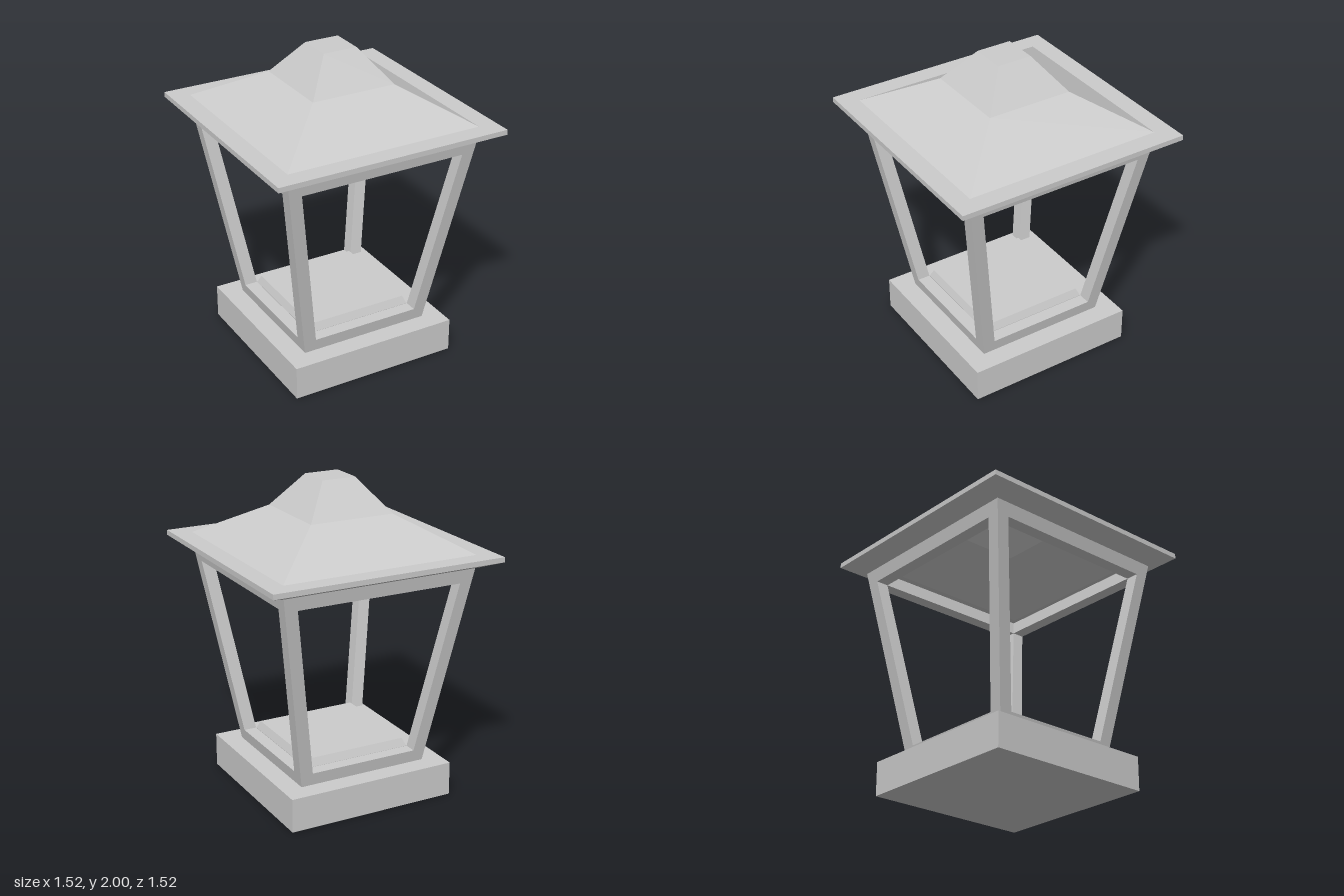
import * as THREE from 'three';

const grey = new THREE.MeshStandardMaterial({ color: 0xcccccc, flatShading: true });
const shell = new THREE.MeshStandardMaterial({ color: 0xcccccc, flatShading: true, side: THREE.DoubleSide });

// Square-plan solid from a profile of [half width, height] points, bottom to top on the outside
function squareLathe(name, profile, material = grey) {
  const points = profile.map(([half, y]) => new THREE.Vector2(half * Math.SQRT2, y));
  const geometry = new THREE.LatheGeometry(points, 4, Math.PI / 4).toNonIndexed();
  geometry.computeVertexNormals();
  const mesh = new THREE.Mesh(geometry, material);
  mesh.name = name;
  return mesh;
}

// Half widths of the flared frame at height y
const outer = (y) => 0.425 + (y - 0.215) * 0.164;
const inner = (y) => 0.355 + (y - 0.295) * 0.166;

// Square ring of the frame between two heights
function rail(name, y0, y1) {
  return squareLathe(name, [
    [outer(y0), y0], [outer(y1), y1], [inner(y1), y1], [inner(y0), y0], [outer(y0), y0],
  ]);
}

// Leaning corner post: a box whose corners follow the frame flare
function post(sx, sz, y0, y1) {
  const geometry = new THREE.BoxGeometry(1, 1, 1);
  const p = geometry.attributes.position;
  for (let i = 0; i < p.count; i++) {
    const y = p.getY(i) > 0 ? y1 : y0;
    const place = (v, s) => s * (v * s > 0 ? outer(y) : inner(y));
    p.setXYZ(i, place(p.getX(i), sx), y, place(p.getZ(i), sz));
  }
  geometry.computeVertexNormals();
  const mesh = new THREE.Mesh(geometry, grey);
  mesh.name = 'cornerPost';
  return mesh;
}

export function createModel() {
  const lantern = new THREE.Group();
  lantern.name = 'lantern';

  // Plinth
  const base = new THREE.Mesh(new THREE.BoxGeometry(1.105, 0.215, 1.105), grey);
  base.name = 'base';
  base.position.y = 0.1075;
  lantern.add(base);

  // Bevelled floor inside the frame
  lantern.add(squareLathe('floorPlate', [[0.342, 0.215], [0.353, 0.295], [0.332, 0.345], [0, 0.345]]));

  // Flared open frame
  const frame = new THREE.Group();
  frame.name = 'frame';
  frame.add(rail('bottomRail', 0.215, 0.295), rail('topRail', 1.41, 1.495));
  for (const sx of [-1, 1]) for (const sz of [-1, 1]) frame.add(post(sx, sz, 0.295, 1.41));
  lantern.add(frame);

  // Hollow roof: eave underside, rim, ledge, two slopes and flat cap
  lantern.add(squareLathe('roof', [
    [0.635, 1.495], [0.758, 1.545], [0.758, 1.577], [0.638, 1.577],
    [0.275, 1.79], [0.111, 2], [0, 2],
  ], shell));

  return lantern;
}
